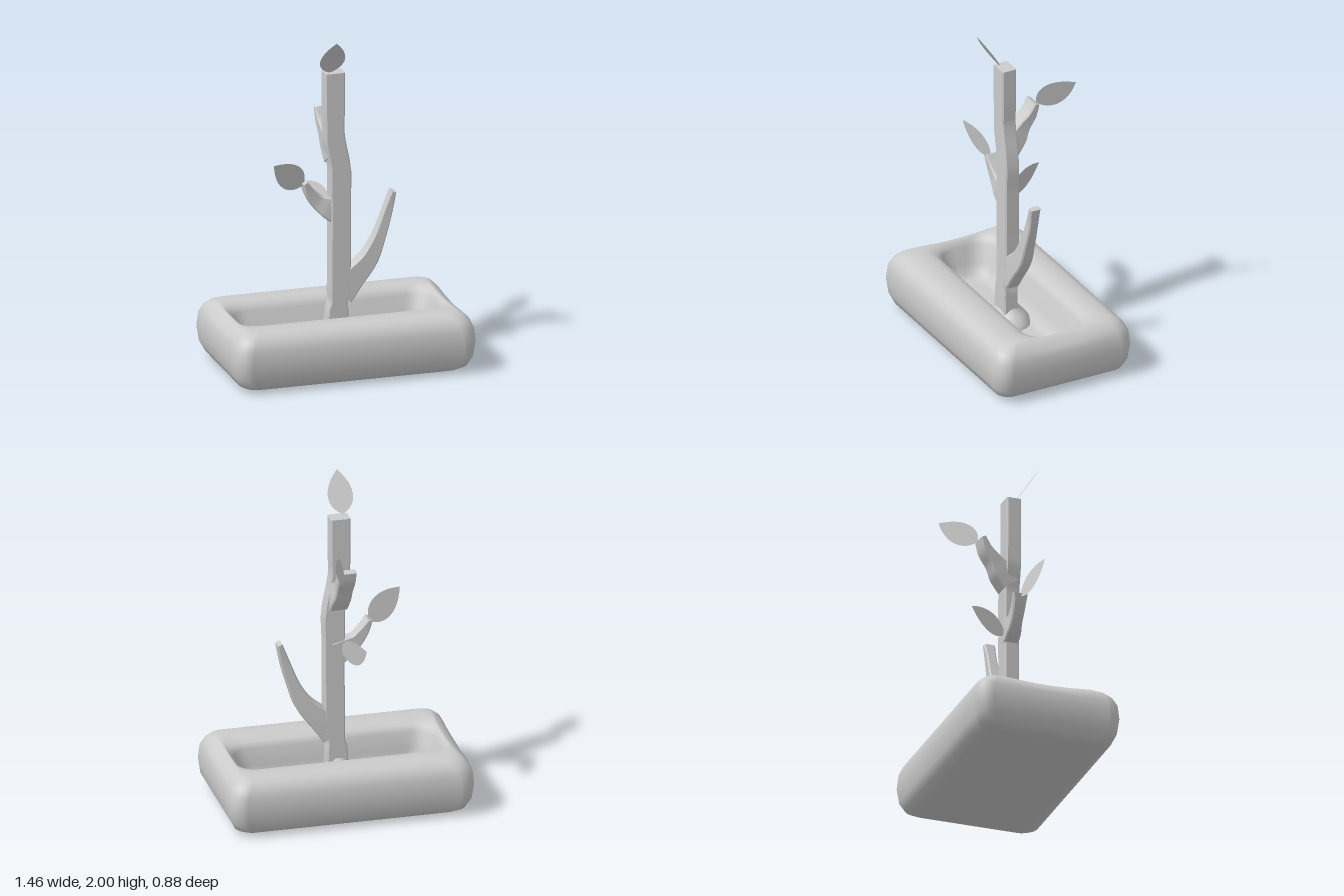
import * as THREE from 'three';
import { toCreasedNormals, mergeVertices } from 'three/addons/utils/BufferGeometryUtils.js';

const V = (x, y, z) => new THREE.Vector3(x, y, z);
const material = new THREE.MeshStandardMaterial({ color: 0xcccccc });
const leafMaterial = new THREE.MeshStandardMaterial({ color: 0xcccccc, side: THREE.DoubleSide });

// Skins a list of rings (equal point counts) and closes both ends.
function skin(rings) {
  const n = rings[0].length, pos = [], idx = [];
  rings.forEach(r => r.forEach(p => pos.push(p.x, p.y, p.z)));
  for (let k = 0; k < rings.length - 1; k++) {
    for (let i = 0; i < n; i++) {
      const a = k * n + i, b = k * n + (i + 1) % n;
      idx.push(a, b, a + n, b, b + n, a + n);
    }
  }
  const last = (rings.length - 1) * n;
  for (let i = 1; i < n - 1; i++) {
    idx.push(0, i + 1, i, last, last + i, last + i + 1);
  }
  const g = new THREE.BufferGeometry();
  g.setAttribute('position', new THREE.Float32BufferAttribute(pos, 3));
  g.setIndex(idx);
  g.computeVertexNormals();
  return g;
}

// Rounded rectangle ring in the ground plane.
function roundedRing(hx, hz, y, r, dz) {
  const pts = [], arc = 7, side = 8;
  const corners = [[1, 1], [-1, 1], [-1, -1], [1, -1]];
  const at = (q, a) => {
    const [sx, sz] = corners[q % 4], t = (q + a) * Math.PI / 2;
    const x = sx * (hx - r) + r * Math.cos(t), z = sz * (hz - r) + r * Math.sin(t);
    return V(x, y, dz - z);
  };
  for (let q = 0; q < 4; q++) {
    for (let i = 0; i <= arc; i++) pts.push(at(q, i / arc));
    for (let i = 1; i < side; i++) pts.push(at(q, 1).lerp(at(q + 1, 0), i / side));
  }
  // the short rims sag a little in the middle
  pts.forEach(p => { if (p.y > 0.3) p.y -= 0.013 * Math.max(0, 1 - (p.z / 0.25) ** 2); });
  return pts;
}

// Chamfered square limb; each station is [x, y, z, width, depth], depth along n.
function limb(name, n, stations, steps = 24) {
  const path = new THREE.CatmullRomCurve3(stations.map(s => V(s[0], s[1], s[2])));
  const size = new THREE.CatmullRomCurve3(stations.map(s => V(s[3], s[4], 0)));
  const rings = [];
  for (let k = 0; k <= steps; k++) {
    const t = k / steps, p = path.getPoint(t), s = size.getPoint(t);
    const side = n.clone().cross(path.getTangent(t)).normalize();
    const w = s.x / 2, d = s.y / 2, c = 0.008;
    const section = [[w, c - d], [w, d - c], [w - c, d], [c - w, d],
      [-w, d - c], [-w, c - d], [c - w, -d], [w - c, -d]];
    rings.push(section.map(([u, v]) => p.clone().addScaledVector(side, u).addScaledVector(n, v)));
  }
  const mesh = new THREE.Mesh(toCreasedNormals(skin(rings), 0.6), material);
  mesh.name = name;
  return mesh;
}

// Flat pointed leaf from base to tip, widened along the given direction.
function leaf(name, base, tip, across, half = 0.073) {
  const s = new THREE.Shape();
  s.moveTo(0, 0);
  s.bezierCurveTo(0.1, 1.05, 0.5, 1.75, 1, 0);
  s.bezierCurveTo(0.5, -1.75, 0.1, -1.05, 0, 0);
  const g = new THREE.ShapeGeometry(s, 14);
  const along = tip.clone().sub(base), dir = along.clone().normalize();
  const side = across.clone().addScaledVector(dir, -across.dot(dir)).normalize();
  const normal = dir.clone().cross(side);
  g.applyMatrix4(new THREE.Matrix4().makeBasis(along, side.multiplyScalar(half), normal).setPosition(base));
  g.computeVertexNormals();
  const mesh = new THREE.Mesh(g, leafMaterial);
  mesh.name = name;
  return mesh;
}

export function createModel() {
  const model = new THREE.Group();
  model.name = 'pottedTree';

  // Planter: soft outer block, broad rim and a long recess
  const profile = [ // half x, half z, y, corner radius, z shift
    [0.6, 0.31, 0, 0.06, 0], [0.645, 0.365, 0.01, 0.07, 0], [0.685, 0.405, 0.035, 0.08, 0],
    [0.715, 0.43, 0.09, 0.085, 0], [0.728, 0.442, 0.18, 0.09, 0], [0.72, 0.435, 0.26, 0.09, 0],
    [0.7, 0.415, 0.305, 0.09, 0], [0.67, 0.385, 0.335, 0.08, 0], [0.645, 0.345, 0.351, 0.08, 0],
    [0.632, 0.29, 0.355, 0.1, 0], [0.625, 0.235, 0.352, 0.11, -0.008], [0.613, 0.195, 0.338, 0.12, -0.013],
    [0.6, 0.172, 0.3, 0.12, -0.015], [0.57, 0.15, 0.2, 0.11, -0.008], [0.55, 0.135, 0.145, 0.1, 0],
    [0.52, 0.11, 0.122, 0.08, 0.005], [0.47, 0.08, 0.12, 0.06, 0.01],
  ];
  const planter = new THREE.Mesh(skin(profile.map(p => roundedRing(...p))), material);
  planter.name = 'planter';
  model.add(planter);

  // Flared root at the foot of the trunk
  const flare = [[0.16, 0.11], [0.15, 0.15], [0.11, 0.185], [0.07, 0.22], [0.045, 0.27], [0, 0.28]];
  const root = new THREE.Mesh(mergeVertices(
    new THREE.LatheGeometry(flare.map(p => new THREE.Vector2(...p)), 32)), material);
  root.scale.z = 0.75;
  root.position.set(-0.008, 0, -0.005);
  root.name = 'rootFlare';
  model.add(root);

  // Trunk and branches
  const Z = V(0, 0, 1), X = V(1, 0, 0);
  model.add(
    limb('trunk', Z, [
      [-0.005, 0.12, 0.01, 0.14, 0.09], [0, 0.34, 0.01, 0.12, 0.09], [0.012, 0.46, 0.01, 0.12, 0.09],
      [0.015, 0.75, 0.01, 0.12, 0.09], [0.015, 1.0, 0.01, 0.12, 0.09], [0.013, 1.2, 0.01, 0.12, 0.09],
      [-0.018, 1.38, 0.01, 0.118, 0.09], [-0.02, 1.55, 0.01, 0.118, 0.09], [-0.02, 1.775, 0.01, 0.118, 0.09],
    ], 40),
    limb('leftBranch', Z, [
      [0.02, 0.42, 0.01, 0.15, 0.088], [0.085, 0.505, 0.01, 0.14, 0.088], [0.19, 0.62, 0.01, 0.105, 0.08],
      [0.255, 0.755, 0.01, 0.072, 0.07], [0.305, 0.9, 0.008, 0.055, 0.06], [0.338, 1.015, 0.008, 0.032, 0.068],
    ]),
    limb('rightBranch', Z, [
      [0, 0.93, 0.005, 0.15, 0.088], [-0.06, 0.96, 0.005, 0.125, 0.085], [-0.115, 0.995, 0.003, 0.085, 0.07],
      [-0.165, 1.06, 0.003, 0.058, 0.075], [-0.195, 1.12, 0.003, 0.03, 0.088],
    ]),
    limb('backBranch', X, [
      [-0.005, 1.24, 0, 0.11, 0.11], [-0.01, 1.31, -0.045, 0.12, 0.11], [-0.018, 1.375, -0.095, 0.085, 0.1],
      [-0.02, 1.435, -0.145, 0.06, 0.105], [-0.02, 1.505, -0.175, 0.034, 0.112],
    ]),
  );

  // Leaves
  model.add(
    leaf('topLeaf', V(-0.05, 1.78, 0.035), V(-0.05, 2.0, 0.175), X, 0.07),
    leaf('rightLeaf', V(-0.2, 1.1, 0.005), V(-0.4, 1.26, 0.08), V(0, 1, 0.2)),
    leaf('backBranchLeaf', V(0, 1.5, -0.185), V(0.105, 1.63, -0.388), V(0.2, 1, 0)),
    leaf('trunkLeaf', V(-0.03, 0.925, -0.033), V(-0.115, 1.03, -0.265), V(0.2, 1, 0)),
  );
  return model;
}
